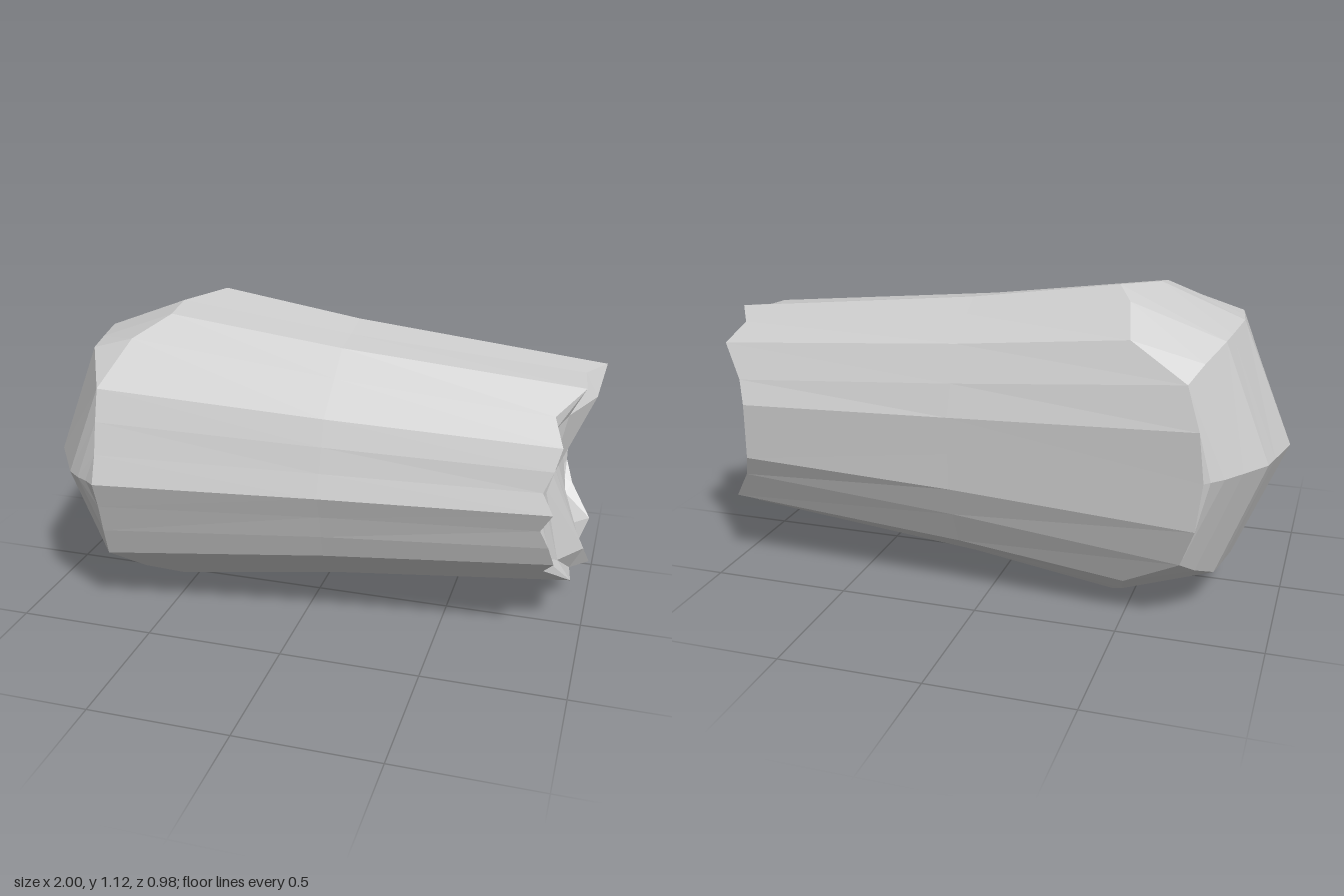
import * as THREE from 'three';

const CENTRE = 0.56; // height of the mirror plane

// Cross-section loops run from the front crease over the top to the back crease.
// Each point is [x, z, height above the mirror plane].
const wide = [
  [-0.69, 0.49, 0], [-0.69, 0.455, 0.10], [-0.695, 0.42, 0.21], [-0.70, 0.38, 0.32],
  [-0.64, 0.20, 0.455], [-0.53, 0.09, 0.525], [-0.53, -0.03, 0.545], [-0.42, -0.19, 0.56],
  [-0.47, -0.26, 0.52], [-0.50, -0.39, 0.425], [-0.70, -0.45, 0.31], [-0.75, -0.49, 0.17],
  [-0.77, -0.49, 0],
];
const rim = [
  [0.89, 0.29, 0], [0.85, 0.27, 0.07], [0.88, 0.25, 0.14], [0.90, 0.22, 0.215],
  [0.86, 0.13, 0.29], [0.95, 0.03, 0.365], [0.935, -0.10, 0.38], [1, -0.19, 0.39],
  [0.95, -0.27, 0.35], [0.98, -0.37, 0.295], [0.90, -0.43, 0.18], [0.87, -0.47, 0.10],
  [0.87, -0.47, 0],
];
const innerEdge = [
  rim[0], rim[1], rim[2], [0.88, 0.20, 0.205],
  [0.86, 0.13, 0.24], [0.90, 0.06, 0.275], [0.98, -0.10, 0.295], [0.95, -0.18, 0.283],
  [0.93, -0.26, 0.27], [0.88, -0.39, 0.21], [0.87, -0.43, 0.165], [0.86, -0.46, 0.12],
  rim[12],
];
const capEdge = [
  wide[0], wide[1], wide[2], wide[3],
  [-0.79, 0.20, 0.41], [-0.805, 0.09, 0.42], [-0.82, -0.03, 0.43], [-0.80, -0.19, 0.417],
  [-0.79, -0.26, 0.41], [-0.74, -0.37, 0.36], wide[10], wide[11], wide[12],
];
const capRidge = [
  [-0.69, 0.49], [-0.73, 0.46], [-0.77, 0.44], [-0.82, 0.40], [-0.95, 0.20], [-0.97, 0.09],
  [-1, -0.03], [-0.965, -0.19], [-0.95, -0.26], [-0.88, -0.36], [-0.83, -0.43], [-0.79, -0.47],
  [-0.77, -0.49],
].map(([x, z]) => [x, z, 0]);

// Slightly waisted section half way along the shaft
const middle = rim.map((p, i) => {
  const w = wide[i], t = (w[0] - 0.1) / (w[0] - p[0]);
  return [0.1, THREE.MathUtils.lerp(w[1], p[1], t) * 0.98, THREE.MathUtils.lerp(w[2], p[2], t) * 0.97];
});

// Shallow crease at the bottom of the broken end
const hollow = innerEdge.map(([x, z], i) => [i === 0 || i === 12 ? x : 0.84, z, 0]);

// Skins neighbouring loops and mirrors the result above and below the centre plane
function loft(name, loops, material) {
  const positions = [];
  const triangle = (a, b, c) => {
    for (const [x, z, h] of [a, b, c]) positions.push(x, CENTRE + h, z);
    for (const [x, z, h] of [a, c, b]) positions.push(x, CENTRE - h, z);
  };
  for (let i = 0; i + 1 < loops.length; i++) {
    for (let j = 0; j + 1 < loops[i].length; j++) {
      const a = loops[i][j], b = loops[i][j + 1];
      const c = loops[i + 1][j + 1], d = loops[i + 1][j];
      if (a !== d || b !== c) {
        if (b !== c) triangle(a, b, c);
        if (a !== d) triangle(a, c, d);
      }
    }
  }
  const geometry = new THREE.BufferGeometry();
  geometry.setAttribute('position', new THREE.Float32BufferAttribute(positions, 3));
  geometry.computeVertexNormals();
  const mesh = new THREE.Mesh(geometry, material);
  mesh.name = name;
  return mesh;
}

export function createModel() {
  const group = new THREE.Group();
  group.name = 'brokenStump';
  const material = new THREE.MeshStandardMaterial({ color: 0xcccccc, flatShading: true });
  group.add(
    loft('brokenEnd', [hollow, innerEdge, rim], material),
    loft('shaft', [rim, middle, wide], material),
    loft('roundedEnd', [wide, capEdge, capRidge], material),
  );
  return group;
}
